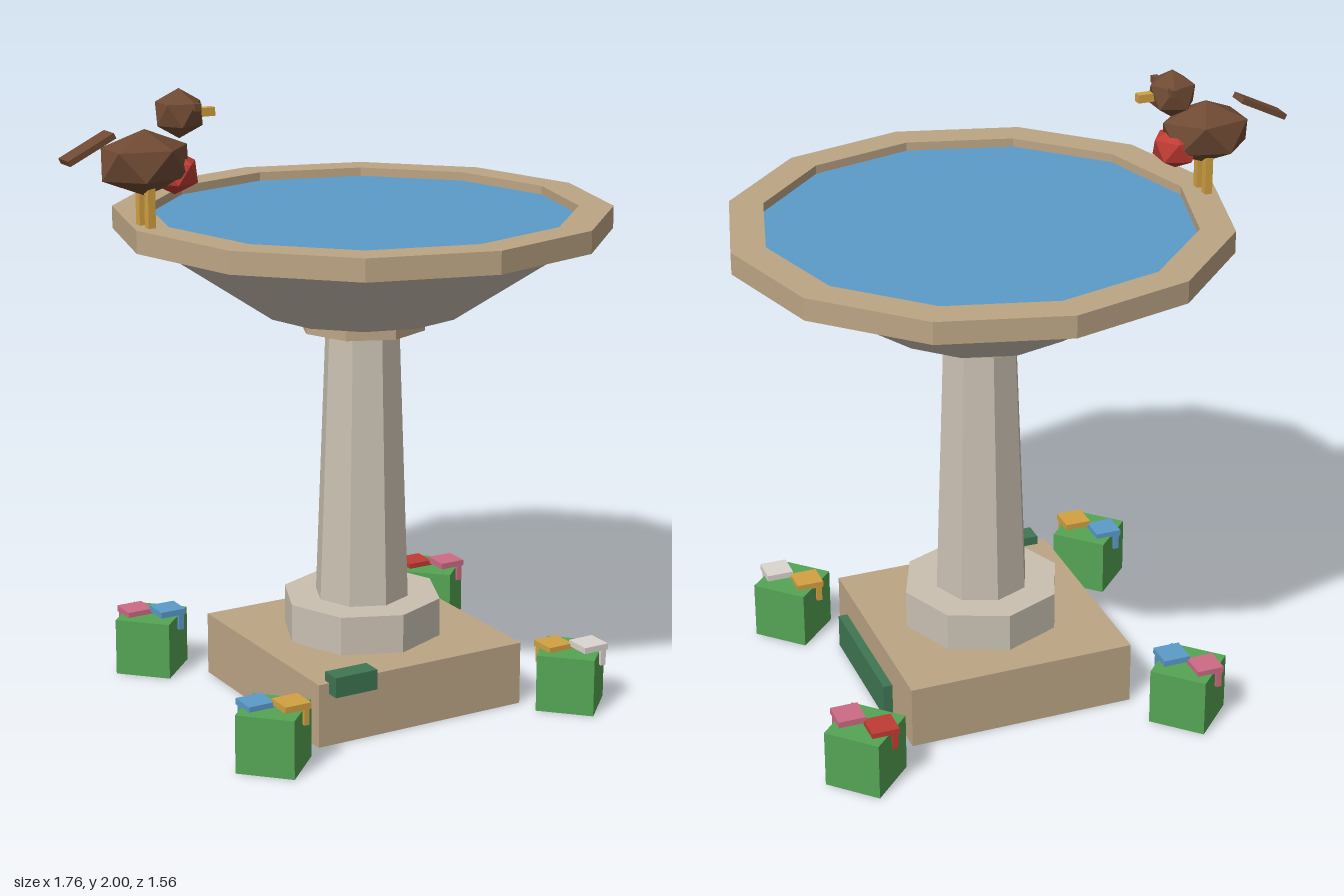
import * as THREE from 'three';

const flat = (name, color) => {
  const m = new THREE.MeshStandardMaterial({ color, flatShading: true });
  m.name = name;
  return m;
};

export function createModel() {
  const stone = flat('stone', 0xc9c0b1);
  const sandstone = flat('sandstone', 0xbca585);
  const water = flat('water blue', 0x5b9bca);
  const leaf = flat('leaf green', 0x55a555);
  const moss = flat('moss green', 0x3f7653);
  const feather = flat('feather brown', 0x6f4a33);
  const red = flat('red', 0xbf3c34);
  const gold = flat('gold', 0xd2a142);
  const pink = flat('pink', 0xcc6b84);
  const white = flat('off white', 0xdcd5cf);

  const model = new THREE.Group();
  model.name = 'birdBath';

  const add = (parent, name, geometry, material, x, y, z) => {
    const mesh = new THREE.Mesh(geometry, material);
    mesh.name = name;
    mesh.position.set(x, y, z);
    parent.add(mesh);
    return mesh;
  };
  const box = (parent, name, material, w, h, d, x, y, z) =>
    add(parent, name, new THREE.BoxGeometry(w, h, d), material, x, y, z);

  // Bath: each tier stands between two heights on a shared axis
  const bath = new THREE.Group();
  bath.name = 'bath';
  bath.position.x = 0.103;
  model.add(bath);
  const tier = (name, material, rTop, rBottom, y0, y1, sides) =>
    add(bath, name, new THREE.CylinderGeometry(rTop, rBottom, y1 - y0, sides), material, 0, (y0 + y1) / 2, 0);

  box(bath, 'base', sandstone, 0.74, 0.205, 0.74, 0, 0.1025, 0);
  tier('plinth', stone, 0.258, 0.258, 0.205, 0.33, 8);
  tier('column', stone, 0.12, 0.153, 0.33, 1.21, 8);
  tier('collar', sandstone, 0.202, 0.202, 1.21, 1.27, 8);
  tier('bowl', stone, 0.705, 0.322, 1.27, 1.527, 12);
  tier('water', water, 0.671, 0.671, 1.53, 1.567, 12);
  const rimProfile = [[0.67, 1.525], [0.778, 1.525], [0.778, 1.595], [0.67, 1.595], [0.67, 1.525]]
    .map(([r, y]) => new THREE.Vector2(r, y));
  add(bath, 'rim', new THREE.LatheGeometry(rimProfile, 12), sandstone, 0, 0, 0);

  // Moss on the base
  box(model, 'topMoss', moss, 0.147, 0.065, 0.067, -0.157, 0.2025, 0.378);
  box(model, 'sideMoss', moss, 0.05, 0.112, 0.465, 0.478, 0.056, 0.052);

  // Bushes, each with a flower on two opposite sides
  const bushes = [
    [-0.45, 0.415, gold, water],
    [-0.405, -0.509, water, pink],
    [0.658, -0.469, pink, red],
    [0.611, 0.4525, white, gold],
  ];
  for (const [x, z, frontColor, backColor] of bushes) {
    const bush = new THREE.Group();
    bush.name = 'bush';
    bush.position.set(x, 0, z);
    model.add(bush);
    box(bush, 'leaves', leaf, 0.185, 0.187, 0.185, 0, 0.0935, 0).rotation.y = Math.PI / 4;
    [[1, frontColor, 0.205], [-1, backColor, 0.194]].forEach(([side, color, y]) => {
      box(bush, 'petals', color, 0.088, 0.02, 0.088, side * 0.04, y, side * 0.04);
      box(bush, 'stem', color, 0.018, 0.065, 0.018, side * 0.071, y - 0.03, side * 0.071);
    });
  }

  // Bird on the rim, facing +x
  const bird = new THREE.Group();
  bird.name = 'bird';
  bird.position.z = -0.047;
  model.add(bird);
  // Icosahedron standing on a corner, stretched to size
  const blob = (name, material, rx, ry, rz, x, y) => {
    const g = new THREE.IcosahedronGeometry(1, 0);
    g.rotateX(-Math.atan((1 + Math.sqrt(5)) / 2)).rotateY(Math.PI / 2).scale(rx, ry, rz);
    return add(bird, name, g, material, x, y, 0);
  };
  blob('body', feather, 0.157, 0.1, 0.118, -0.62, 1.787);
  blob('breast', red, 0.078, 0.068, 0.084, -0.523, 1.75);
  blob('head', feather, 0.08, 0.075, 0.08, -0.505, 1.925);
  box(bird, 'beak', gold, 0.06, 0.026, 0.026, -0.42, 1.923, 0);
  box(bird, 'tail', feather, 0.165, 0.018, 0.068, -0.805, 1.845, 0).rotation.z = 0.45;
  for (const side of [1, -1]) {
    box(bird, 'leg', gold, 0.024, 0.13, 0.026, -0.62, 1.66, side * 0.03);
    box(bird, 'eye', feather, 0.022, 0.022, 0.03, -0.48, 1.95, side * 0.064);
  }

  return model;
}
